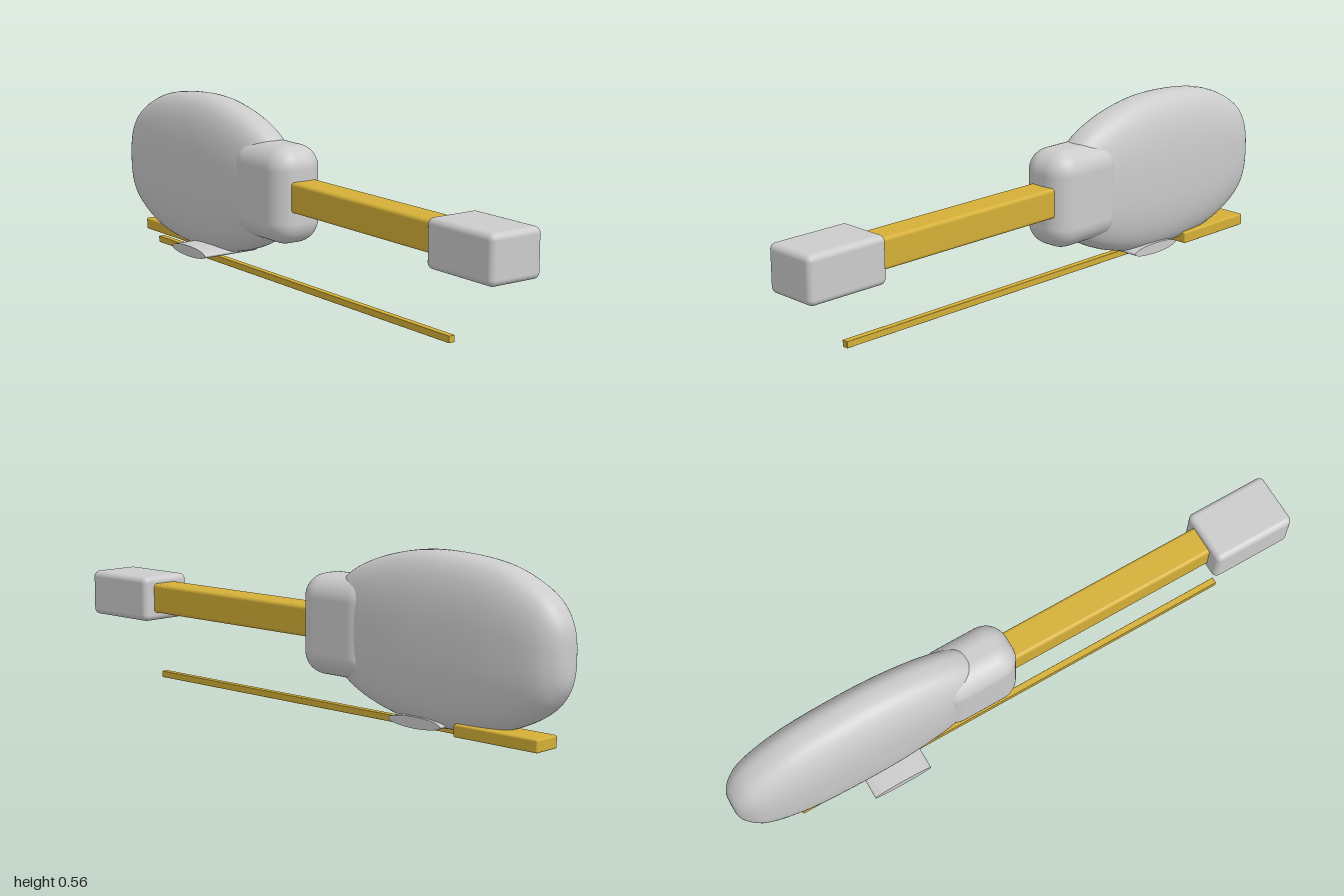
import * as THREE from 'three';
import { RoundedBoxGeometry } from 'three/addons/geometries/RoundedBoxGeometry.js';

const grey = new THREE.MeshStandardMaterial({ color: 0xcccccc });
const gold = new THREE.MeshStandardMaterial({ color: 0xd4af37 });

function add(group, name, geometry, material) {
  const mesh = new THREE.Mesh(geometry, material);
  mesh.name = name;
  group.add(mesh);
  return mesh;
}

// Rounded box given by its extents along each axis
function box(group, name, [x0, x1], [y0, y1], [z0, z1], radius, material) {
  const geometry = new RoundedBoxGeometry(x1 - x0, y1 - y0, z1 - z0, 6, radius);
  geometry.translate((x0 + x1) / 2, (y0 + y1) / 2, (z0 + z1) / 2);
  return add(group, name, geometry, material);
}

// Superelliptic cross-sections swept along x; each station is x, half height, half depth
function bodyGeometry(stations, cy, cz, power) {
  const curve = new THREE.CatmullRomCurve3(stations.map((s) => new THREE.Vector3(...s)));
  const rows = 80, cols = 72, positions = [], index = [];
  const bulge = (v) => Math.sign(v) * Math.abs(v) ** (2 / power);
  for (let i = 0; i <= rows; i++) {
    const s = curve.getPoint(i / rows);
    for (let j = 0; j < cols; j++) {
      const t = (j / cols) * Math.PI * 2;
      positions.push(s.x, cy + Math.max(s.y, 0) * bulge(Math.cos(t)), cz + Math.max(s.z, 0) * bulge(Math.sin(t)));
      if (i === rows) continue;
      const a = i * cols + j, b = i * cols + ((j + 1) % cols);
      index.push(a, b, a + cols, b, b + cols, a + cols);
    }
  }
  const geometry = new THREE.BufferGeometry();
  geometry.setAttribute('position', new THREE.Float32BufferAttribute(positions, 3));
  geometry.setIndex(index);
  geometry.computeVertexNormals();
  return geometry;
}

export function createModel() {
  const model = new THREE.Group();
  model.name = 'stringInstrument';

  // Main body: blunt at the tail, tapering into the collar
  add(model, 'body', bodyGeometry([
    [-1, 0, 0], [-0.997, 0.07, 0.03], [-0.98, 0.115, 0.054], [-0.93, 0.172, 0.082],
    [-0.79, 0.24, 0.1], [-0.57, 0.267, 0.104], [-0.42, 0.258, 0.102], [-0.26, 0.216, 0.091],
    [-0.165, 0.165, 0.073], [-0.1, 0.08, 0.04], [-0.085, 0, 0],
  ], 0.292, -0.015, 2.6), grey);

  // Collar, neck and head
  box(model, 'collar', [-0.3, -0.005], [0.13, 0.452], [-0.109, 0.08], 0.075, grey);
  box(model, 'neck', [-0.08, 0.73], [0.243, 0.343], [-0.07, 0.03], 0.012, gold);
  box(model, 'head', [0.715, 1], [0.215, 0.367], [-0.109, 0.08], 0.02, grey);

  // Flat elliptical rest crossing under the body
  const rest = new THREE.CylinderGeometry(1, 1, 0.21, 48);
  rest.rotateX(Math.PI / 2);
  rest.scale(0.103, 0.018, 1);
  rest.translate(-0.483, 0.041, 0.015);
  add(model, 'rest', rest, grey);

  // Tailpiece and bow stick below the body
  box(model, 'tailpiece', [-0.945, -0.635], [0.02, 0.06], [-0.09, 0.005], 0.006, gold);
  box(model, 'bowStick', [-0.81, 0.775], [0, 0.022], [0.014, 0.036], 0.002, gold);

  return model;
}
